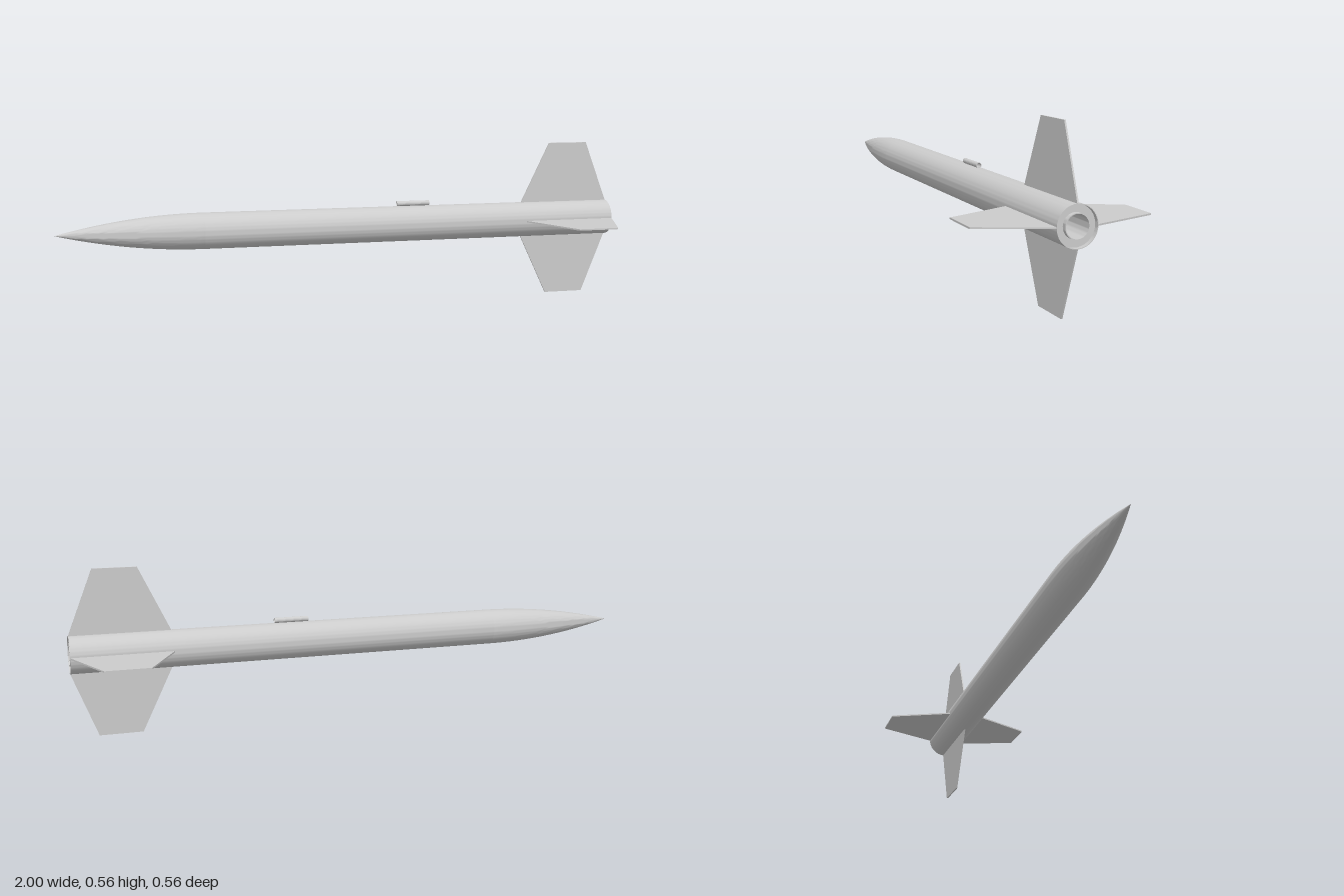
import * as THREE from 'three';
import { toCreasedNormals } from 'three/addons/utils/BufferGeometryUtils.js';

const AXIS_Y = 0.28;
const R = 0.063; // body radius
const material = new THREE.MeshStandardMaterial({ color: 0xcccccc });

// Turned part along the x axis, from [x, radius] pairs
function turned(name, profile, segments = 64) {
  const points = profile.map(([x, r]) => new THREE.Vector2(r, x));
  const geometry = new THREE.LatheGeometry(points, segments).rotateZ(-Math.PI / 2);
  const mesh = new THREE.Mesh(toCreasedNormals(geometry, Math.PI / 6), material);
  mesh.name = name;
  return mesh;
}

// Open-ended tube with wall thickness
function tube(name, x0, x1, outer, inner, segments) {
  return turned(name, [[x0, inner], [x0, outer], [x1, outer], [x1, inner], [x0, inner]], segments);
}

export function createModel() {
  const model = new THREE.Group();
  model.name = 'modelRocket';
  const rocket = new THREE.Group();
  rocket.name = 'rocket';
  rocket.position.y = AXIS_Y;
  model.add(rocket);

  // Curved nose cone, tip at -x
  const noseLength = 0.5;
  const nose = [];
  for (let i = 0; i <= 28; i++) {
    const t = i / 28;
    nose.push([-1 + noseLength * t, R * (1 - (1 - t) ** 2)]);
  }
  rocket.add(turned('noseCone', nose));

  // Thin-walled body tube, open at the tail
  rocket.add(tube('bodyTube', -0.5, 1, R, R - 0.002));

  // Motor mount: recessed centring ring, tube and forward bulkhead
  rocket.add(tube('centringRing', 0.97, 0.985, R - 0.002, 0.0375));
  rocket.add(tube('motorTube', 0.7, 1, 0.0375, 0.035));
  rocket.add(turned('motorBulkhead', [[0.69, 0], [0.69, 0.0375], [0.7, 0.0375], [0.7, 0]]));

  // Four tapered fins around the tail
  const thickness = 0.005;
  const outline = new THREE.Shape([
    new THREE.Vector2(0.665, R - 0.001),
    new THREE.Vector2(1, R - 0.001),
    new THREE.Vector2(0.915, 0.28),
    new THREE.Vector2(0.77, 0.28),
  ]);
  const finGeometry = new THREE.ExtrudeGeometry(outline, { depth: thickness, bevelEnabled: false });
  finGeometry.translate(0, 0, -thickness / 2);
  for (let i = 0; i < 4; i++) {
    const fin = new THREE.Mesh(finGeometry, material);
    fin.name = `fin${i + 1}`;
    fin.rotation.x = (i * Math.PI) / 2;
    rocket.add(fin);
  }

  // Launch lug on top of the body
  const lug = tube('launchLug', 0.19, 0.31, 0.009, 0.008, 32);
  lug.position.y = R + 0.0095;
  rocket.add(lug);

  return model;
}
